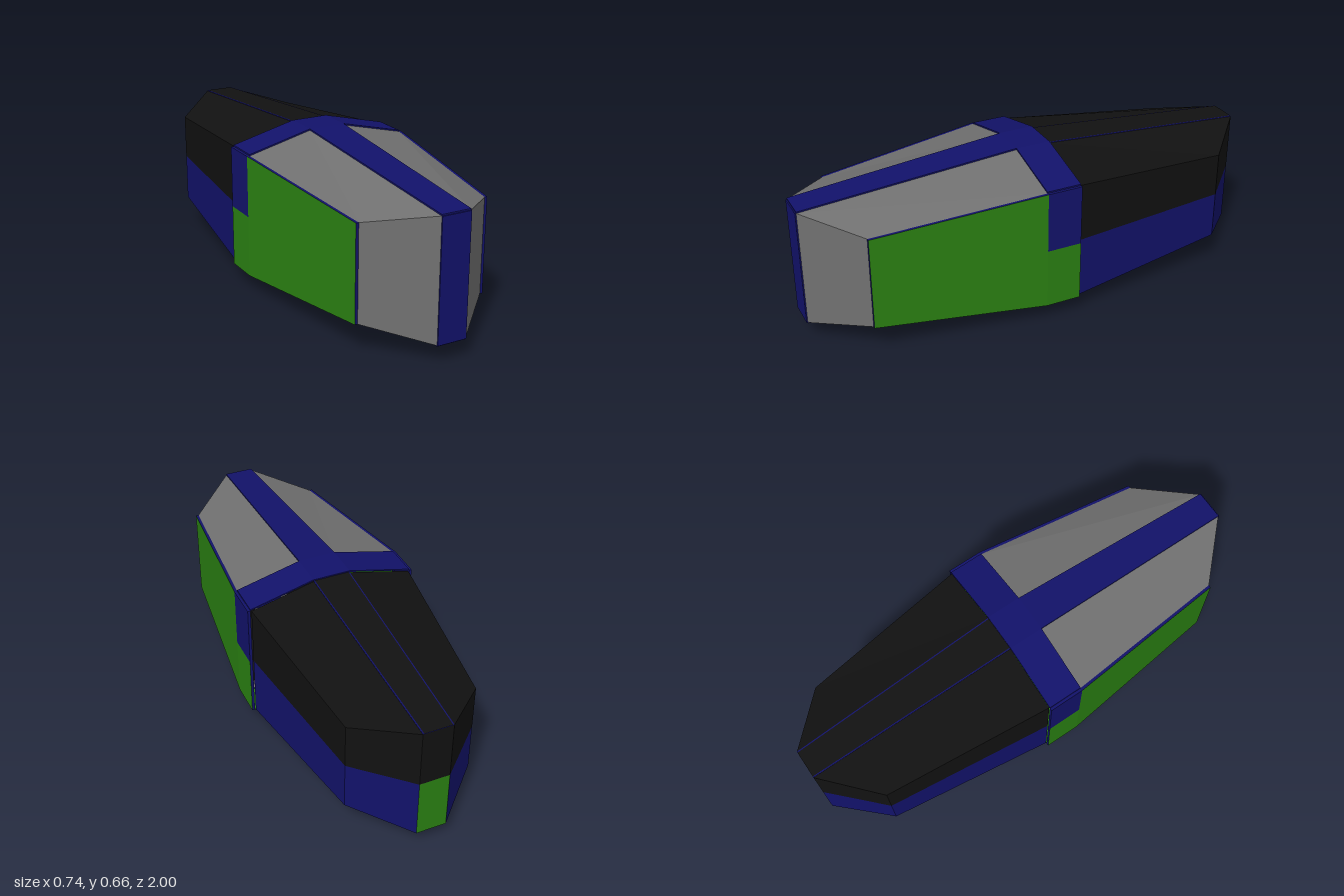
import * as THREE from 'three';

const COLORS = { navy: 0x12126a, green: 0x2a8012, grey: 0x707070, black: 0x111111 };
const mats = {};
for (const key in COLORS) {
  mats[key] = new THREE.MeshStandardMaterial({ color: COLORS[key], flatShading: true, side: THREE.DoubleSide });
}

const V = (x, y, z) => new THREE.Vector3(x, y, z);
const MID = 0.335; // height of the colour split

// Mesh made of flat quads, each a list of four points
function quadMesh(name, color, quads) {
  const pos = [];
  for (const [a, b, c, d] of quads) for (const p of [a, b, c, a, c, d]) pos.push(p.x, p.y, p.z);
  const geo = new THREE.BufferGeometry();
  geo.setAttribute('position', new THREE.Float32BufferAttribute(pos, 3));
  geo.computeVertexNormals();
  const mesh = new THREE.Mesh(geo, mats[color]);
  mesh.name = name;
  return mesh;
}

// Turn a quad so that its face looks away from the middle of the hull
function outward(q) {
  const n = V(0, 0, 0).crossVectors(q[2].clone().sub(q[0]), q[3].clone().sub(q[1]));
  const c = q.reduce((s, p) => s.add(p), V(0, 0, 0)).multiplyScalar(0.25).sub(V(0, MID, 0));
  return n.dot(c) < 0 ? [...q].reverse() : q;
}

// Four walls joining quad a to quad b
const walls = (a, b) => a.map((p, i) => [p, a[(i + 1) % 4], b[(i + 1) % 4], b[i]]);

// Coloured plate; an offset lifts it off the hull and adds navy rims
function panel(group, name, color, pts, offset) {
  const base = outward(pts);
  const face = offset ? base.map((p) => p.clone().add(offset)) : base;
  group.add(quadMesh(name, color, [face]));
  if (offset) group.add(quadMesh(name + 'Rim', 'navy', walls(base, face).map((w) => outward(w))));
}

// Underside panel with a shallow rectangular recess
function recessedPanel(group, name, pts, depth) {
  const at = (u, v) => pts[0].clone().lerp(pts[1], u).lerp(pts[3].clone().lerp(pts[2], u), v);
  const hole = [at(0.1, 0.05), at(0.88, 0.05), at(0.9, 0.97), at(0.1, 0.97)];
  const floor = hole.map((p) => p.clone().add(V(0, depth, 0)));
  group.add(quadMesh(name + 'Frame', 'grey', walls(pts, hole).map((w) => outward(w))));
  group.add(quadMesh(name + 'Walls', 'grey', walls(hole, floor)));
  group.add(quadMesh(name + 'Floor', 'black', [outward(floor)]));
}

// Strip across the centre line between two stations [halfWidth, y, z]
const strip = ([w0, y0, z0], [w1, y1, z1]) => [V(-w0, y0, z0), V(w0, y0, z0), V(w1, y1, z1), V(-w1, y1, z1)];

function buildSide(s) {
  const side = new THREE.Group();
  side.name = s > 0 ? 'leftSide' : 'rightSide';
  const P = (x, y, z) => V(s * x, y, z);
  const out = V(s * 0.012, 0, 0);

  // Front half: nose, roof, green side plate, underside recess
  const nose = [P(0.063, 0.08, 0.995), P(0.063, 0.583, 0.995)];
  const cheek = [P(0.277, 0.13, 0.79), P(0.277, 0.53, 0.79)];
  const hip = [P(0.356, 0.07, 0.07), P(0.356, 0.59, 0.07)];
  const spine = [P(0.08, 0.005, 0.07), P(0.08, 0.658, 0.07)];
  panel(side, 'nosePanel', 'grey', [nose[0], nose[1], cheek[1], cheek[0]]);
  panel(side, 'frontRoof', 'grey', [nose[1], cheek[1], hip[1], spine[1]]);
  panel(side, 'frontSidePlate', 'green', [cheek[0], cheek[1], hip[1], hip[0]], out);
  recessedPanel(side, 'underside', [nose[0], cheek[0], hip[0], spine[0]], 0.022);

  // Middle band: navy above, green below
  const b0 = 0.07, b1 = -0.08;
  const bandSide = (y0, y1) => [P(0.356, y0, b0), P(0.356, y1, b0), P(0.356, y1, b1), P(0.356, y0, b1)];
  const bandSlope = (y0, y1) => [P(0.08, y0, b0), P(0.356, y1, b0), P(0.356, y1, b1), P(0.08, y0, b1)];
  panel(side, 'bandUpperSide', 'navy', bandSide(MID - 0.005, 0.59), out);
  panel(side, 'bandLowerSide', 'green', bandSide(0.07, MID - 0.005), out);
  panel(side, 'bandRoof', 'navy', bandSlope(0.658, 0.59), V(0, 0.006, 0));
  panel(side, 'bandBottom', 'green', bandSlope(0.005, 0.07), V(0, -0.004, 0));

  // Rear half: black above the split, navy below
  const R = (x, z, ...ys) => ys.map((y) => P(x, y, z));
  const rSpine = R(0.08, b1, 0.005, MID, 0.656);
  const rHip = R(0.352, b1, 0.07, MID, 0.588);
  const rCheek = R(0.27, -0.8, 0.13, MID, 0.525);
  const tail = R(0.063, -1, 0.08, MID, 0.58);
  panel(side, 'rearRoof', 'black', [rSpine[2], rHip[2], rCheek[2], tail[2]]);
  panel(side, 'rearBottom', 'navy', [rSpine[0], rHip[0], rCheek[0], tail[0]]);
  ['navy', 'black'].forEach((color, i) => {
    const level = i ? 'Upper' : 'Lower';
    panel(side, 'rear' + level + 'Side', color, [rHip[i], rHip[i + 1], rCheek[i + 1], rCheek[i]]);
    panel(side, 'tail' + level + 'Corner', color, [rCheek[i], rCheek[i + 1], tail[i + 1], tail[i]]);
  });
  return side;
}

function buildSpine() {
  const g = new THREE.Group();
  g.name = 'centreSpine';
  const up = V(0, 0.006, 0), down = V(0, -0.004, 0);
  // Front strip over roof, nose and underside
  panel(g, 'frontTopStrip', 'navy', strip([0.08, 0.658, 0.07], [0.063, 0.583, 0.995]), up);
  panel(g, 'noseStrip', 'navy', strip([0.063, 0.08, 0.995], [0.063, 0.583, 0.995]), V(0, 0, 0.005));
  panel(g, 'frontBottomStrip', 'navy', strip([0.08, 0.005, 0.07], [0.063, 0.08, 0.995]), down);
  // Middle band
  panel(g, 'bandTop', 'navy', strip([0.08, 0.658, 0.07], [0.08, 0.658, -0.08]), up);
  panel(g, 'bandKeel', 'green', strip([0.08, 0.005, 0.07], [0.08, 0.005, -0.08]), down);
  // Rear strip: black inlay on a navy border above, green below
  panel(g, 'rearTopBorder', 'navy', strip([0.08, 0.656, -0.08], [0.063, 0.58, -1]), V(0, 0.002, 0));
  panel(g, 'rearTopStrip', 'black', strip([0.075, 0.659, -0.08], [0.058, 0.583, -1]));
  panel(g, 'tailUpper', 'black', strip([0.063, MID, -1], [0.063, 0.58, -1]));
  panel(g, 'tailLower', 'green', strip([0.063, 0.08, -1], [0.063, MID, -1]));
  panel(g, 'rearKeel', 'green', strip([0.08, 0.005, -0.08], [0.063, 0.08, -1]));
  return g;
}

export function createModel() {
  const model = new THREE.Group();
  model.name = 'pod';
  model.add(buildSide(1), buildSide(-1), buildSpine());
  model.position.y = -0.001;
  const root = new THREE.Group();
  root.name = 'model';
  root.add(model);
  return root;
}
